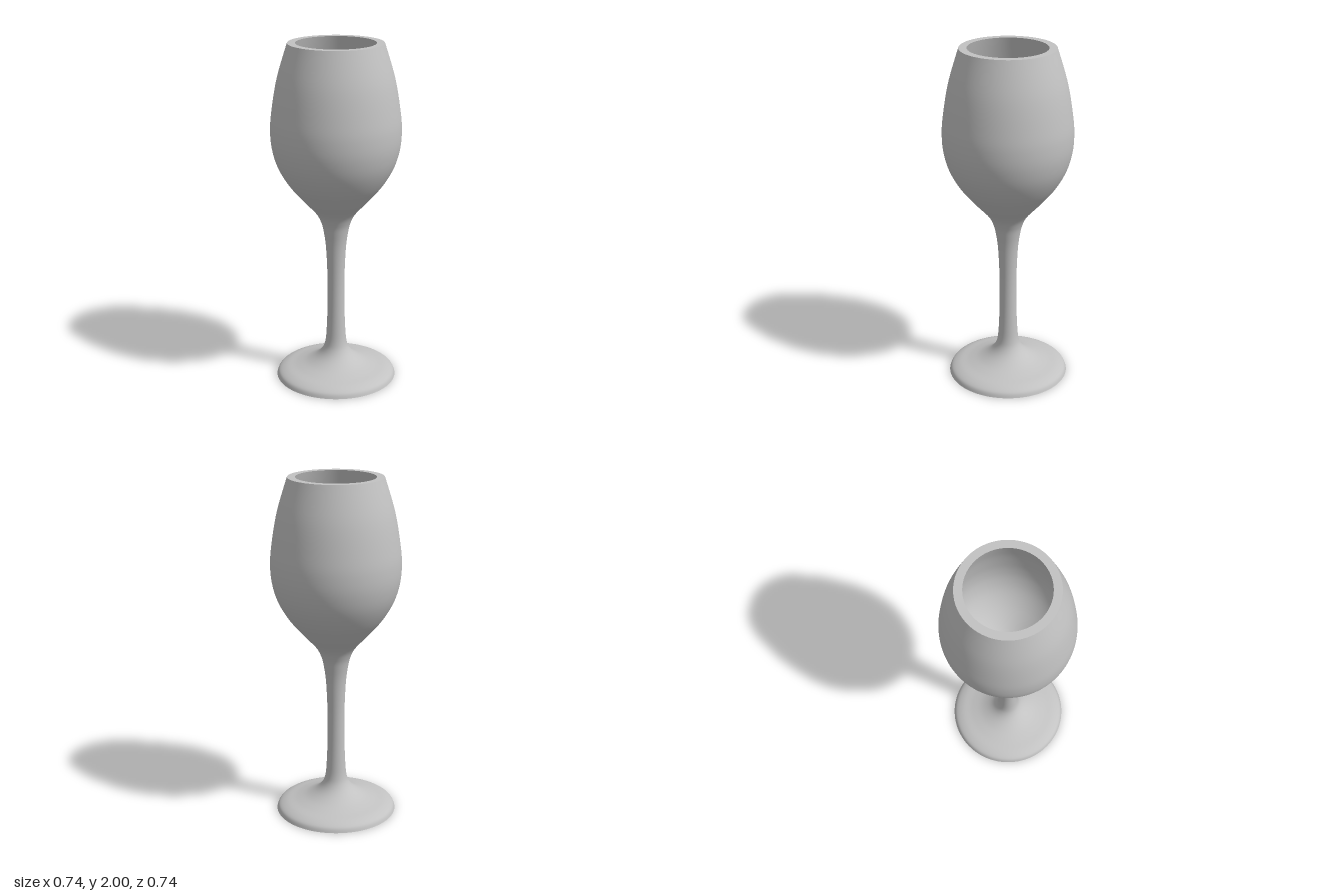
import * as THREE from 'three';

const SEGMENTS = 96;

// Smooth curve through [radius, height] pairs
function smoothProfile(pairs, divisions) {
  const curve = new THREE.SplineCurve(pairs.map(([r, y]) => new THREE.Vector2(r, y)));
  return curve.getPoints(divisions).map(p => p.set(Math.max(p.x, 0), p.y));
}

export function createModel() {
  const group = new THREE.Group();
  group.name = 'wineGlass';

  const glass = new THREE.MeshStandardMaterial({ color: 0xc2c2c2 });
  glass.name = 'palegrey';

  // Upward profiles face outward, downward profiles face the axis
  function addLathe(name, points) {
    const mesh = new THREE.Mesh(new THREE.LatheGeometry(points, SEGMENTS), glass);
    mesh.name = name;
    group.add(mesh);
  }

  // Foot, stem and bowl outside as one continuous surface
  addLathe('outerSurface', smoothProfile([
    [0.355, 0], [0.341, 0.028], [0.3, 0.049], [0.235, 0.065], [0.17, 0.087],
    [0.115, 0.12], [0.08, 0.16], [0.063, 0.21], [0.055, 0.3], [0.05, 0.45],
    [0.05, 0.62], [0.058, 0.8], [0.071, 0.9], [0.086, 0.96], [0.118, 1.02],
    [0.196, 1.105], [0.275, 1.2], [0.332, 1.3], [0.362, 1.4], [0.371, 1.5],
    [0.363, 1.61], [0.33, 1.8], [0.27, 2],
  ], 140));

  // Flat lip
  addLathe('rim', [new THREE.Vector2(0.27, 2), new THREE.Vector2(0.225, 2)]);

  // Hollow of the bowl
  addLathe('bowlInside', smoothProfile([
    [0.225, 2], [0.286, 1.79], [0.318, 1.61], [0.326, 1.5], [0.318, 1.41],
    [0.291, 1.32], [0.239, 1.23], [0.164, 1.14], [0.09, 1.065], [0.04, 1.03], [0, 1.02],
  ], 70));

  // Recessed underside of the foot
  addLathe('footUnderside', smoothProfile([
    [0, 0.23], [0.022, 0.215], [0.045, 0.165], [0.08, 0.115], [0.13, 0.075],
    [0.2, 0.044], [0.28, 0.022], [0.355, 0],
  ], 50));

  return group;
}
